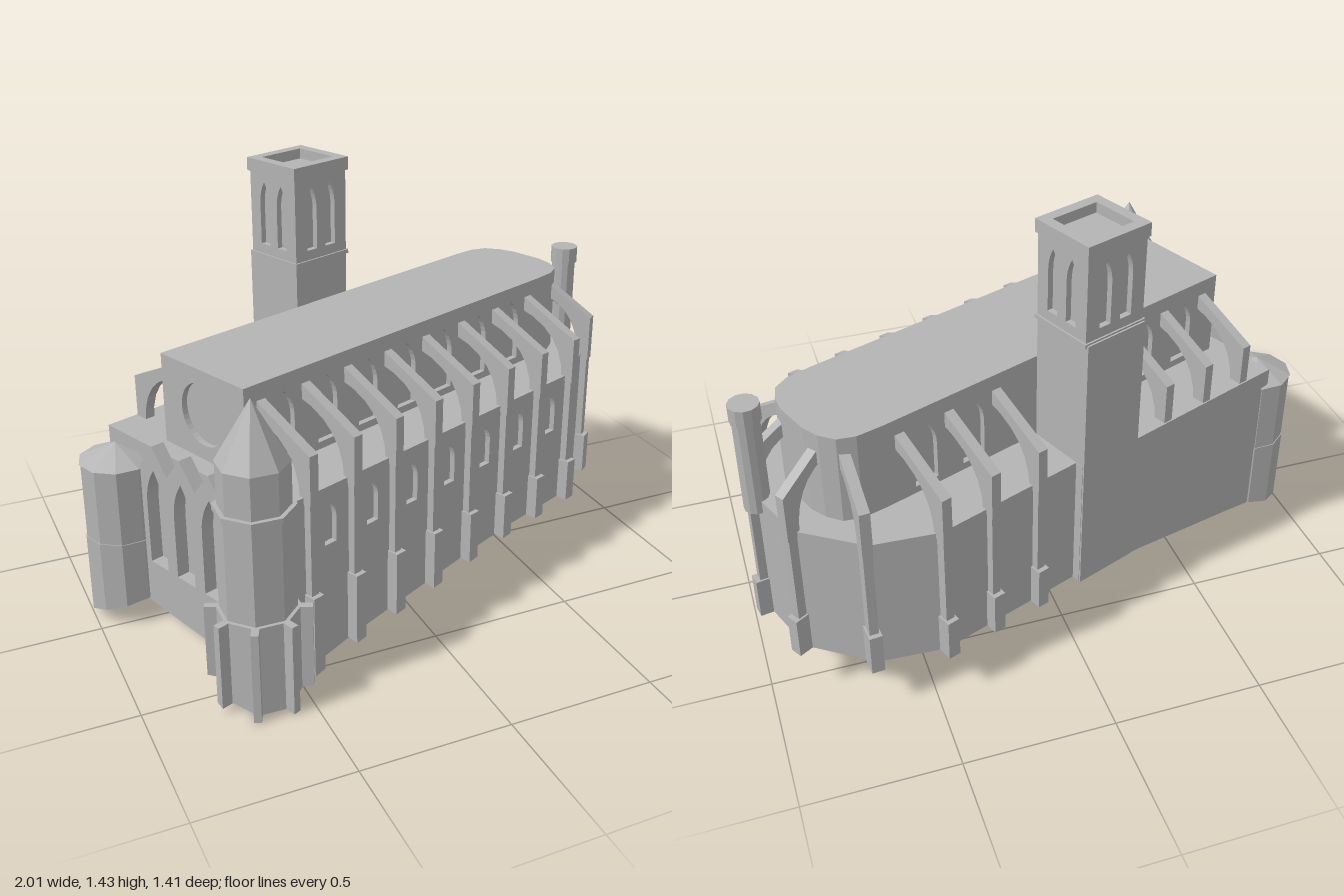
import * as THREE from 'three';

const stone = new THREE.MeshStandardMaterial({ color: 0xb4b4b4 });
stone.name = 'grey stone';

// height of the sloping site, along the church (u) on its south and north sides
const SOUTH = [[-0.95, 0], [-0.77, 0], [-0.6, 0.035], [-0.43, 0.065], [-0.25, 0.085],
  [-0.06, 0.105], [0.12, 0.125], [0.3, 0.145], [0.67, 0.155], [1.05, 0.165]];
const NORTH = [[-0.92, 0.015], [-0.7, 0.06], [-0.1, 0.155], [1.05, 0.165]];
function sample(table, u) {
  if (u <= table[0][0]) return table[0][1];
  for (let i = 1; i < table.length; i++) {
    const [a, ya] = table[i - 1], [b, yb] = table[i];
    if (u <= b) return ya + (yb - ya) * (u - a) / (b - a);
  }
  return table[table.length - 1][1];
}
function siteHeight(u, w) {
  const t = THREE.MathUtils.clamp((w + 0.4) / 0.8, 0, 1);
  const rise = Math.max(0, -u) * 0.4 * t * (1 - t);
  return THREE.MathUtils.lerp(sample(NORTH, u), sample(SOUTH, u), t) + rise;
}

// flat facets; anything standing at zero is fitted to the site
function facet(geo) {
  const g = geo.index ? geo.toNonIndexed() : geo;
  const p = g.attributes.position;
  for (let i = 0; i < p.count; i++) {
    if (Math.abs(p.getY(i)) < 1e-4) p.setY(i, siteHeight(p.getX(i), p.getZ(i)));
  }
  g.computeVertexNormals();
  return g;
}
function add(parent, name, geo) {
  const m = new THREE.Mesh(facet(geo), stone);
  m.name = name;
  parent.add(m);
  return m;
}

// upright prism over a plan outline of [u, w] points
function prism(points, y0, y1) {
  const fine = [];
  points.forEach(([x, z], i) => {
    const [nx, nz] = points[(i + 1) % points.length];
    const n = Math.ceil(Math.hypot(nx - x, nz - z) / 0.16);
    for (let k = 0; k < n; k++) fine.push(new THREE.Vector2(x + (nx - x) * k / n, z + (nz - z) * k / n));
  });
  const g = new THREE.ExtrudeGeometry(new THREE.Shape(fine), { depth: y1 - y0, bevelEnabled: false });
  return g.rotateX(Math.PI / 2).translate(0, y1, 0);
}
function drum(x, z, r, y0, y1, sides = 8, rTop = r) {
  return new THREE.CylinderGeometry(rTop, r, y1 - y0, sides).translate(x, (y0 + y1) / 2, z);
}
function block(x0, x1, y0, y1, z0, z1) {
  return new THREE.BoxGeometry(x1 - x0, y1 - y0, z1 - z0).translate((x0 + x1) / 2, (y0 + y1) / 2, (z0 + z1) / 2);
}
function pointedArch(cx, width, y0, spring, apex) {
  const h = width / 2, p = new THREE.Path();
  p.moveTo(cx - h, y0).lineTo(cx + h, y0).lineTo(cx + h, spring);
  p.quadraticCurveTo(cx + h, (spring + apex) / 2 + 0.005, cx, apex);
  p.quadraticCurveTo(cx - h, (spring + apex) / 2 + 0.005, cx - h, spring);
  return p;
}
// wall skin pierced by openings, facing z
function panel(points, holes, depth) {
  const s = new THREE.Shape(points.map(p => new THREE.Vector2(...p)));
  s.holes.push(...holes);
  return new THREE.ExtrudeGeometry(s, { depth, bevelEnabled: false, curveSegments: 5 });
}
const rect = (x0, x1, y0, y1) => [[x0, y0], [x1, y0], [x1, y1], [x0, y1]];

// flying buttress from outer point to inner point, with an optional stepped pier below
function flyingButtress(parent, [ox, oz], [ix, iz], pier = true) {
  const g = new THREE.Group();
  g.name = 'flyingButtress';
  const L = Math.hypot(ox - ix, oz - iz), angle = Math.atan2(-(oz - iz), ox - ix);
  const place = geo => geo.rotateY(angle).translate(ix, 0, iz);
  const s = new THREE.Shape();
  s.moveTo(L, 0.625).lineTo(L, 0.79).lineTo(-0.02, 0.905).lineTo(-0.02, 0.85);
  s.quadraticCurveTo(L - 0.045, 0.81, L - 0.045, 0.625);
  const arch = new THREE.ExtrudeGeometry(s, { depth: 0.034, bevelEnabled: false, curveSegments: 6 });
  add(g, 'flyer', place(arch.translate(0, 0, -0.017)));
  if (pier) {
    add(g, 'pier', place(block(L - 0.06, L - 0.004, 0, 0.64, -0.015, 0.015)));
    add(g, 'pierBase', place(block(L - 0.06, L + 0.012, 0, 0.31, -0.021, 0.021)));
  }
  parent.add(g);
}

export function createModel() {
  const root = new THREE.Group();
  root.name = 'church';
  const church = new THREE.Group();
  church.name = 'churchBody';
  root.rotation.y = THREE.MathUtils.degToRad(21);
  church.position.z = -0.07;
  root.add(church);

  const bays = Array.from({ length: 8 }, (_, k) => -0.614 + 0.183 * k);
  const mids = bays.slice(0, 7).map(u => u + 0.0915);

  // aisles and ambulatory
  const east = [[-0.745, -0.43], [0.137, -0.43], [0.137, -0.4], [0.667, -0.4], [0.87, -0.31],
    [1.01, -0.11], [1.01, 0.11], [0.87, 0.31], [0.667, 0.4]];
  add(church, 'aisleBase', prism([...east, [-0.745, 0.4]], 0, 0.31));
  add(church, 'aisleWalls', prism([...east, [0.667, 0.38], [-0.745, 0.38]], 0.31, 0.645));
  add(church, 'southAisleWindowWall', panel(rect(-0.745, 0.667, 0.31, 0.645),
    mids.map(u => pointedArch(u, 0.05, 0.445, 0.53, 0.59)), 0.02).translate(0, 0, 0.38));

  // nave and rounded apse
  const apse = [[0.72, 0.2], [0.81, 0.195], [0.865, 0.17], [0.895, 0.12], [0.91, 0.06]];
  const mirrored = apse.map(([u, w]) => [u, -w]);
  add(church, 'nave', prism([[-0.66, -0.18], [0.72, -0.18], ...mirrored, ...apse.reverse(),
    [0.72, 0.18], [-0.66, 0.18]], 0.6, 0.95));
  for (const side of [1, -1]) {
    const windows = mids.filter((_, k) => side > 0 || k < 2 || k > 4);
    add(church, 'clerestoryWall', panel(rect(-0.66, 0.72, 0.64, 0.95),
      windows.map(u => pointedArch(u, 0.085, 0.67, 0.8, 0.895)), 0.02)
      .translate(0, 0, side > 0 ? 0.18 : -0.2));
  }
  const rose = new THREE.Path().absarc(0, 0.8, 0.105, 0, Math.PI * 2);
  const roseWall = new THREE.Shape(rect(-0.2, 0.2, 0.64, 0.95).map(p => new THREE.Vector2(...p)));
  roseWall.holes.push(rose);
  add(church, 'roseWindowWall', new THREE.ExtrudeGeometry(roseWall,
    { depth: 0.02, bevelEnabled: false, curveSegments: 20 }).rotateY(Math.PI / 2).translate(-0.68, 0, 0));

  // buttresses along both sides and around the apse
  bays.forEach((u, k) => {
    flyingButtress(church, [u, 0.43], [u, 0.2]);
    if (k < 3) flyingButtress(church, [u, -0.425], [u, -0.2], false);
    if (k > 4) flyingButtress(church, [u, -0.43], [u, -0.2]);
  });
  for (const s of [1, -1]) {
    flyingButtress(church, [0.888, s * 0.335], [0.845, s * 0.18]);
    flyingButtress(church, [1.038, s * 0.115], [0.895, s * 0.09]);
  }
  add(church, 'apseTurret', drum(1.005, 0.107, 0.043, 0.6, 0.93, 12));
  add(church, 'apseTurretCap', drum(1.005, 0.107, 0.049, 0.93, 0.99, 12));

  // bell tower with paired openings and sunken roof
  const tower = new THREE.Group();
  tower.name = 'bellTower';
  church.add(tower);
  const cu = 0.0185, cw = -0.312, hu = 0.117, hw = 0.112;
  add(tower, 'towerShaft', block(cu - hu, cu + hu, 0, 1.1, -0.436, cw + hw));
  add(tower, 'stringCourse', block(cu - hu - 0.006, cu + hu + 0.006, 1.092, 1.106, cw - hw - 0.006, cw + hw + 0.006));
  add(tower, 'belfryCore', block(cu - hu + 0.02, cu + hu - 0.02, 1.1, 1.4, cw - hw + 0.02, cw + hw - 0.02));
  const belfry = half => panel(rect(-half, half, 1.1, 1.4),
    [-0.042, 0.042].map(c => pointedArch(c, 0.045, 1.14, 1.28, 1.36)), 0.02);
  for (const z of [cw - hw, cw + hw - 0.02]) add(tower, 'belfryWall', belfry(hu).translate(cu, 0, z));
  for (const x of [cu - hu, cu + hu - 0.02]) add(tower, 'belfryWall', belfry(hw).rotateY(Math.PI / 2).translate(x, 0, cw));
  const ring = panel(rect(-hu - 0.007, hu + 0.007, -hw - 0.007, hw + 0.007),
    [new THREE.Path(rect(-hu + 0.03, hu - 0.03, -hw + 0.03, hw - 0.03).map(p => new THREE.Vector2(...p)))], 0.045);
  add(tower, 'parapet', ring.rotateX(Math.PI / 2).translate(cu, 1.435, cw));

  // south-west turret with spire and small buttresses
  const sw = new THREE.Group();
  sw.name = 'spireTurret';
  church.add(sw);
  const [sx, sz] = [-0.771, 0.341];
  add(sw, 'turretBase', drum(sx, sz, 0.132, 0, 0.31));
  add(sw, 'turretBody', drum(sx, sz, 0.12, 0.31, 0.645));
  add(sw, 'turretRim', drum(sx, sz, 0.127, 0.64, 0.66));
  add(sw, 'turretDrum', drum(sx, sz, 0.112, 0.66, 0.8));
  add(sw, 'spire', drum(sx, sz, 0.114, 0.8, 0.995, 8, 0.001));
  for (let k = 0; k < 8; k++) {
    add(sw, 'turretButtress', block(0.1, 0.165, 0, 0.31, -0.012, 0.012)
      .rotateY(k * Math.PI / 4).translate(sx, 0, sz));
  }

  // north-west turret with low roof
  const nw = new THREE.Group();
  nw.name = 'lowTurret';
  church.add(nw);
  const [nx, nz] = [-0.788, -0.335];
  add(nw, 'turretBase', drum(nx, nz, 0.123, 0, 0.31, 10));
  add(nw, 'turretBody', drum(nx, nz, 0.12, 0.31, 0.575, 10));
  add(nw, 'turretRoof', drum(nx, nz, 0.125, 0.575, 0.63, 10, 0.001));

  // west front: three gabled portals
  const front = [[-0.21, 0], [0.21, 0], [0.21, 0.6]];
  for (const c of [0.14, 0, -0.14]) front.push([c, 0.685], [c - 0.07, 0.6]);
  add(church, 'portalScreen', panel(front,
    [-0.14, 0, 0.14].map(c => pointedArch(c, 0.09, 0.25, 0.47, 0.6)), 0.047)
    .rotateY(Math.PI / 2).translate(-0.79, 0, 0.01));

  return root;
}
